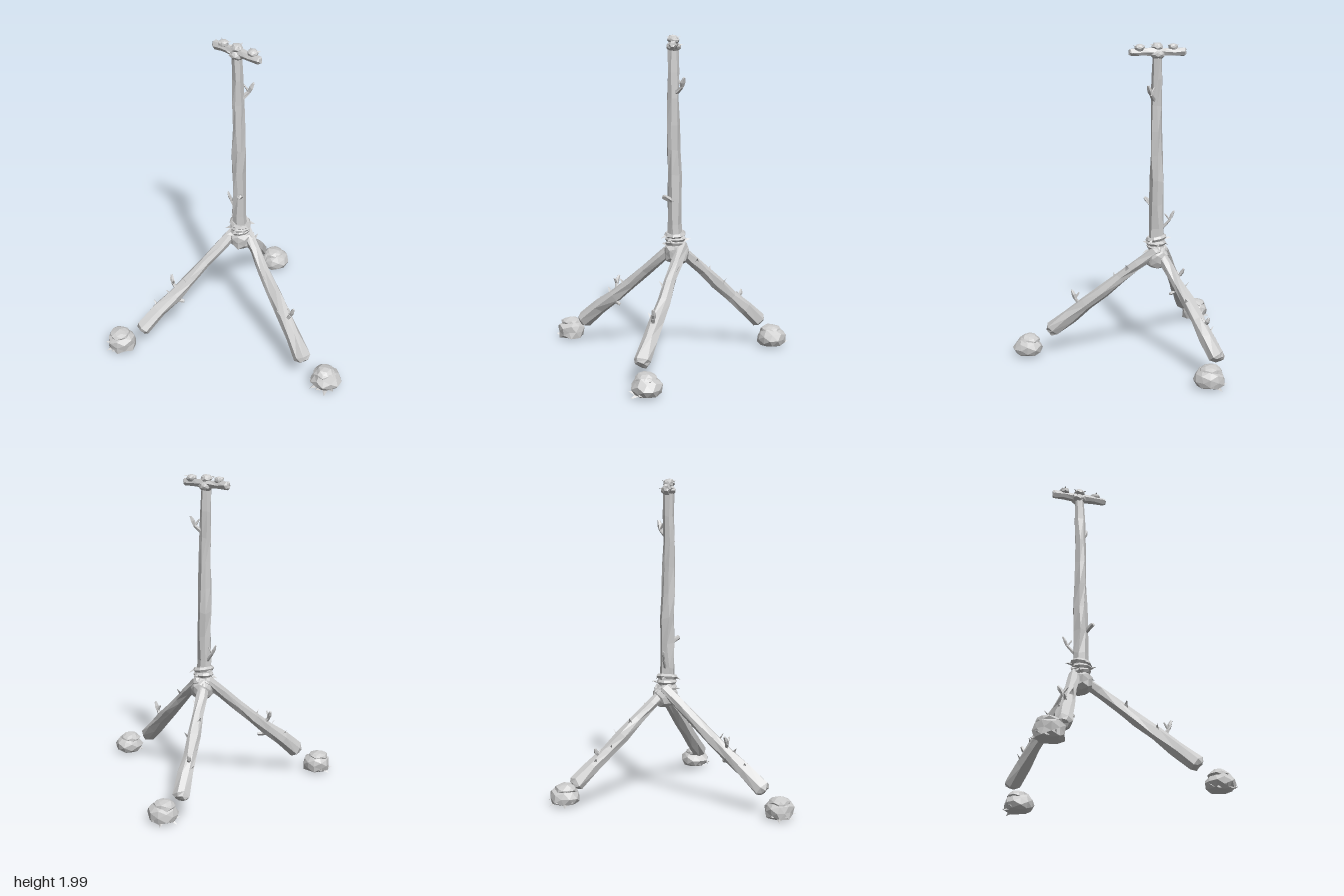
import * as THREE from 'three';

const material = new THREE.MeshStandardMaterial({ color: 0xcccccc, flatShading: true, side: THREE.DoubleSide });
const V = (p) => new THREE.Vector3(...p);

// Small seeded generator so the bark stays the same on every run
function seeded(seed) {
  let s = seed * 7919 + 17;
  return () => ((s = (s * 16807) % 2147483647) / 2147483647);
}

export function createModel() {
  const root = new THREE.Group();
  root.name = 'branchStand';

  function add(name, geometry, parent = root) {
    const mesh = new THREE.Mesh(geometry, material);
    mesh.name = name;
    parent.add(mesh);
    return mesh;
  }

  // Rough faceted branch from start to end; radii are spread evenly along it
  function branch(start, end, radii, { sides = 7, rough = 0.12, bend = 0.1, seed = 1, ends = 0.02 } = {}) {
    const rnd = seeded(seed), a = V(start), b = V(end);
    const w = b.clone().sub(a), length = w.length();
    w.normalize();
    const u = new THREE.Vector3(0, 1, 0);
    if (Math.abs(w.y) > 0.9) u.set(1, 0, 0);
    u.cross(w).normalize();
    const v = w.clone().cross(u);
    const n = radii.length, stations = radii.map((r, i) => [(i / (n - 1)) * length, r]);
    // narrowed rims bevel both ends
    stations.unshift([-ends, radii[0] * 0.65]);
    stations.push([length + ends, radii[n - 1] * 0.65]);
    const rows = stations.map(([d, r]) => {
      const c = a.clone().addScaledVector(w, d);
      c.addScaledVector(u, (rnd() - 0.5) * bend * r * 2).addScaledVector(v, (rnd() - 0.5) * bend * r * 2);
      return Array.from({ length: sides }, (_, j) => {
        const t = ((j + (rnd() - 0.5) * 0.4) / sides) * Math.PI * 2, k = r * (1 + (rnd() - 0.5) * 2 * rough);
        return c.clone().addScaledVector(u, Math.cos(t) * k).addScaledVector(v, Math.sin(t) * k)
          .addScaledVector(w, (rnd() - 0.5) * r * 0.4);
      });
    });
    const tris = [], last = rows.length - 1;
    const middle = (row) => row.reduce((s, p) => s.add(p), new THREE.Vector3()).divideScalar(sides);
    const c0 = middle(rows[0]), c1 = middle(rows[last]);
    for (let j = 0; j < sides; j++) {
      const k = (j + 1) % sides;
      for (let i = 0; i < last; i++) {
        const [p, q, r, s] = [rows[i][j], rows[i][k], rows[i + 1][k], rows[i + 1][j]];
        tris.push(p, q, r, p, r, s);
      }
      tris.push(rows[0][k], rows[0][j], c0, rows[last][j], rows[last][k], c1);
    }
    const g = new THREE.BufferGeometry().setFromPoints(tris);
    g.computeVertexNormals();
    return g;
  }

  // Faceted lump with an optional flat underside
  function lump(center, size, seed, floor = -Infinity) {
    const g = new THREE.IcosahedronGeometry(1, 1), p = g.attributes.position;
    for (let i = 0; i < p.count; i++) {
      const q = new THREE.Vector3().fromBufferAttribute(p, i);
      const k = 1 + 0.09 * Math.sin(q.x * 7 + seed) * Math.sin(q.y * 5 + seed * 2) + 0.05 * Math.sin(q.z * 9 + seed * 3);
      q.multiplyScalar(k).multiply(V(size)).add(V(center));
      p.setXYZ(i, q.x, Math.max(q.y, floor), q.z);
    }
    g.computeVertexNormals();
    return g;
  }

  // Thin pointed sliver of bark or grass
  function sliver(base, tip, width) {
    const a = V(base), b = V(tip);
    const d = b.clone().sub(a), s = d.clone().cross(V([0.3, 1, 0.2])).setLength(width / 2);
    const m = a.clone().lerp(b, 0.4).add(V([0, width * 0.3, 0]));
    const l = a.clone().add(s), r = a.clone().sub(s);
    const g = new THREE.BufferGeometry().setFromPoints([l, m, b, m, r, b, l, r, m]);
    g.computeVertexNormals();
    return g;
  }

  // Forked twig: a bent stem and a short side shoot
  function twig(name, base, mid, tip, seed, r = 0.011) {
    const group = new THREE.Group();
    group.name = name;
    root.add(group);
    const opts = { sides: 5, seed, ends: 0.003 };
    add('stem', branch(base, mid, [r * 1.3, r], opts), group);
    add('shoot', branch(mid, tip, [r, r * 1.3, r * 0.7], opts), group);
    const side = V(mid).multiplyScalar(2.1).sub(V(tip).multiplyScalar(1.1));
    side.y = (mid[1] + tip[1]) / 2 + 0.012;
    add('sideShoot', branch(mid, side.toArray(), [r * 0.8, r * 0.5], opts), group);
  }

  // Upright pole
  add('pole', branch([-0.018, 0.68, 0.09], [-0.028, 1.92, 0.095],
    [0.05, 0.046, 0.043, 0.044, 0.041, 0.038, 0.036, 0.034, 0.032], { seed: 3 }));

  // Three splayed legs, thicker at the foot
  const legs = [
    ['leftLeg', [0.01, 0.7, 0.05], [0.5, 0.155, 0.51]],
    ['rightLeg', [-0.045, 0.7, 0.06], [-0.525, 0.155, 0.51]],
    ['backLeg', [-0.025, 0.7, 0.085], [-0.055, 0.16, -0.505]],
  ];
  legs.forEach(([name, top, foot], i) => {
    add(name, branch(top, foot, [0.036, 0.036, 0.037, 0.041, 0.043, 0.048, 0.051], { seed: 11 + i, ends: 0.025 }));
    // bark slivers peeling off the leg
    const rnd = seeded(31 + i);
    for (let k = 0; k < 5; k++) {
      const p = V(top).lerp(V(foot), 0.25 + k * 0.14), t = rnd() * Math.PI * 2;
      const out = V([Math.cos(t), 0.5, Math.sin(t)]).normalize();
      add('barkSliver', sliver(p.clone().addScaledVector(out, 0.03).toArray(),
        p.addScaledVector(out, 0.06).add(V([0, 0.025, 0])).toArray(), 0.03));
    }
  });

  // Knotted hub and bindings round the joint
  add('hub', lump([-0.012, 0.655, 0.075], [0.075, 0.075, 0.08], 2));
  [[0.715, 0.06], [0.745, 0.062], [0.775, 0.065]].forEach(([y, r], i) => {
    const ring = add('binding', new THREE.TorusGeometry(r - 0.013, 0.016, 5, 9));
    ring.position.set(-0.015, y, 0.088);
    ring.rotation.set(Math.PI / 2 + 0.12 * (i - 1), 0.15 * (1 - i), i);
  });
  for (let i = 0; i < 9; i++) {
    const t = (i / 9) * Math.PI * 2 + 0.3, c = Math.cos(t), s = Math.sin(t), y = 0.7 + (i % 3) * 0.035;
    add('bindingEnd', sliver([-0.015 + c * 0.05, y, 0.085 + s * 0.05],
      [-0.015 + c * 0.095, y - 0.02 + (i % 2) * 0.03, 0.085 + s * 0.095], 0.035));
  }

  // Crossbar with knots along its top
  add('crossbar', branch([-0.18, 1.935, 0.022], [0.12, 1.935, 0.16],
    [0.027, 0.024, 0.027, 0.028, 0.026, 0.024], { sides: 6, seed: 8, ends: 0.012 }));
  [[-0.12, 1.963, 0.055, 0.03], [-0.03, 1.965, 0.095, 0.035], [0.075, 1.962, 0.13, 0.032], [-0.03, 1.92, 0.09, 0.045]]
    .forEach(([x, y, z, r], i) => {
      add('knot', lump([x, y, z], [r, r * 0.75, r], i + 4));
      for (let k = 0; k < 3; k++) {
        const t = k * 2.1 + i;
        add('knotSliver', sliver([x, y, z], [x + Math.cos(t) * r * 1.5, y + 0.015, z + Math.sin(t) * r * 1.4], 0.03));
      }
    });

  // Twigs on the pole and legs
  twig('upperPoleTwig', [0.0, 1.645, 0.085], [0.035, 1.68, 0.065], [0.06, 1.735, 0.06], 41, 0.012);
  twig('lowerPoleTwig', [-0.04, 0.83, 0.07], [-0.085, 0.89, 0.04], [-0.11, 0.945, 0.03], 42, 0.008);
  add('poleStub', branch([0.0, 0.985, 0.11], [0.005, 1.015, 0.175], [0.018, 0.015], { sides: 5, seed: 43, ends: 0.005 }));
  twig('rightLegTwig', [-0.34, 0.36, 0.35], [-0.38, 0.41, 0.34], [-0.395, 0.455, 0.32], 44);
  add('rightLegStub', branch([-0.38, 0.30, 0.36], [-0.31, 0.29, 0.35], [0.014, 0.011], { sides: 5, seed: 45, ends: 0.005 }));
  twig('leftLegTwig', [0.36, 0.31, 0.39], [0.395, 0.37, 0.4], [0.415, 0.425, 0.41], 46);
  twig('backLegTwig', [-0.05, 0.29, -0.35], [-0.06, 0.325, -0.375], [-0.07, 0.365, -0.395], 47);

  // Flat-bottomed stones with chipped caps and grass blades at the base
  [['leftStone', 0.66, 0.55, 0.09], ['rightStone', -0.66, 0.555, 0.09], ['backStone', 0.045, -0.555, 0.094]]
    .forEach(([name, x, z, r], i) => {
      add(name, lump([x, 0.055, z], [r, 0.075, r], i + 1, 0.01));
      add('stoneCap', lump([x - 0.01, 0.105, z], [r * 0.72, 0.036, r * 0.72], i + 7));
      for (let k = 0; k < 5; k++) {
        const t = 0.9 + k * 0.55 + i, c = Math.cos(t), s = Math.sin(t);
        add('grassBlade', sliver([x + c * r * 0.7, 0.02, z + s * r * 0.7],
          [x + c * r * 1.15, k % 2 ? 0.005 : 0.035, z + s * r * 1.15], 0.035));
      }
    });

  return root;
}
